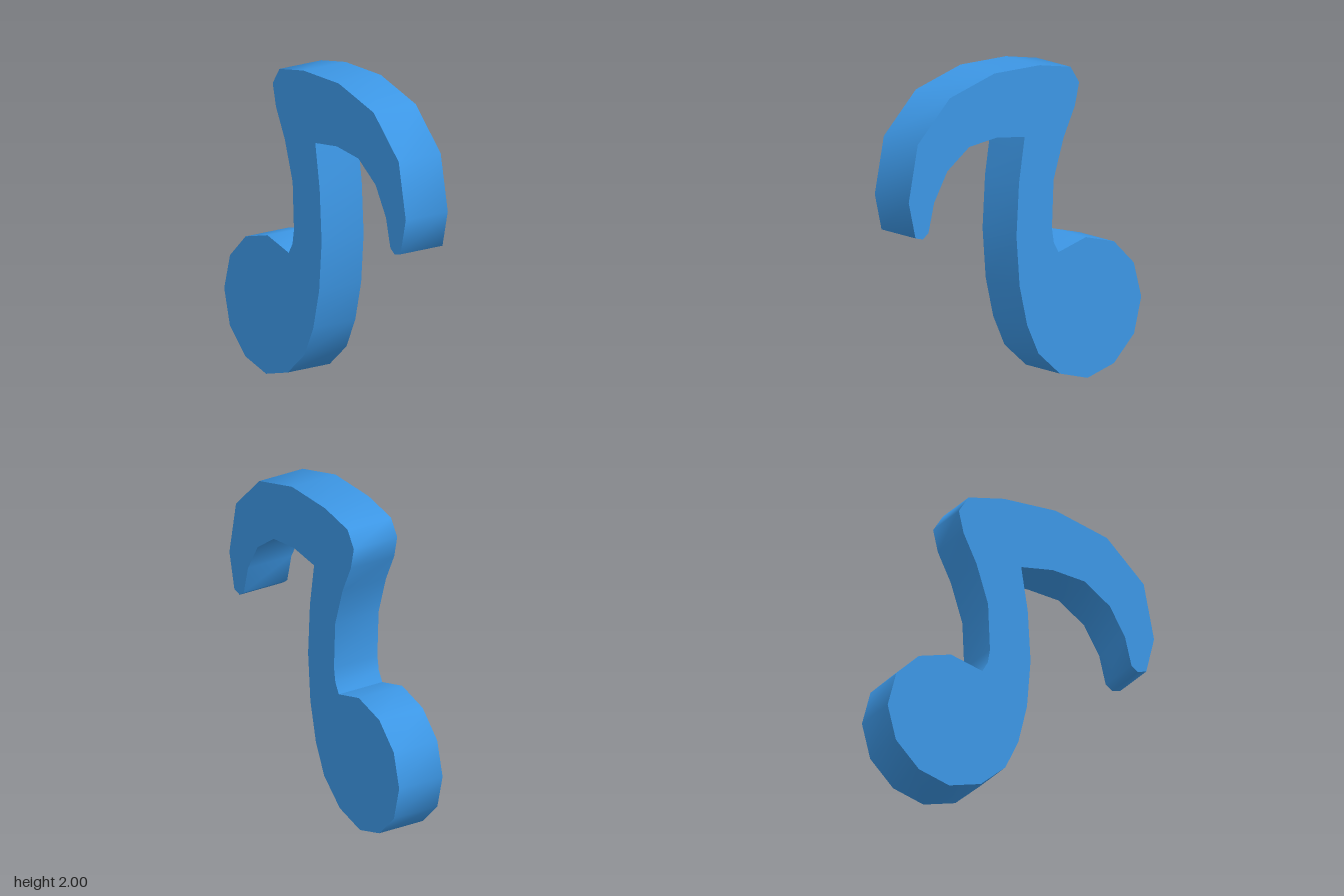
import * as THREE from 'three';
import { toCreasedNormals } from 'three/addons/utils/BufferGeometryUtils.js';

export function createModel() {
  const group = new THREE.Group();
  group.name = 'musicNote';

  const blue = new THREE.MeshStandardMaterial({ color: 0x3c96e4 });
  blue.name = 'blue';

  // Outline of the note, counter-clockwise in x, y
  const outline = [
    // round head, from its bottom up the right side
    [-0.5, 0], [-0.28, 0.06], [-0.11, 0.21], [-0.02, 0.4],
    // right edge of the stem
    [0.04, 0.65], [0.065, 0.96], [0.045, 1.29], [0, 1.57],
    // underside of the flag, out to its tip
    [0.22, 1.6], [0.44, 1.575], [0.615, 1.45], [0.72, 1.27], [0.765, 1.09],
    [0.81, 1.057], [0.868, 1.073],
    // top of the flag, back to the stem
    [0.922, 1.3], [0.85, 1.65], [0.595, 1.9], [0.24, 2], [-0.12, 1.997],
    [-0.365, 1.95], [-0.433, 1.845], [-0.4, 1.705],
    // left edge of the stem
    [-0.31, 1.52], [-0.23, 1.27], [-0.217, 0.97], [-0.232, 0.88], [-0.27, 0.815],
    // left side of the head
    [-0.487, 0.875], [-0.71, 0.815], [-0.868, 0.66], [-0.927, 0.44],
    [-0.87, 0.22], [-0.71, 0.06],
  ].map(([x, y]) => new THREE.Vector2(x, y));

  const depth = 0.315;
  const solid = new THREE.ExtrudeGeometry(new THREE.Shape(outline), { depth, bevelEnabled: false });
  solid.translate(0, 0, -depth / 2);

  // Smooth rim with sharp cap edges and sharp inner corners
  const note = new THREE.Mesh(toCreasedNormals(solid, 1.2), blue);
  note.name = 'noteBody';
  group.add(note);
  return group;
}
